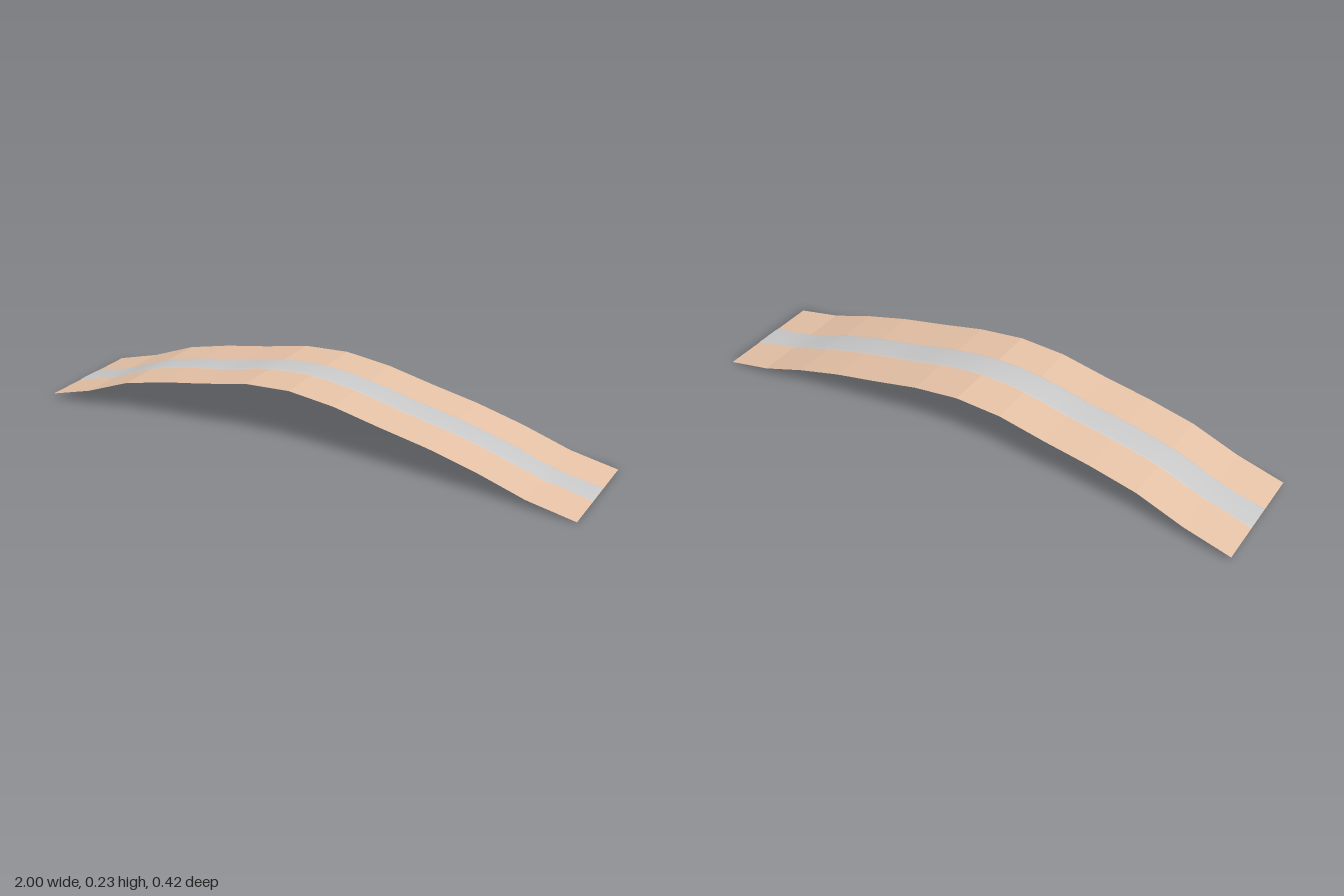
import * as THREE from 'three';

// Height of the hill at 13 evenly spaced stations from x = -1 to x = 1
const heights = [0.024, 0.068, 0.13, 0.166, 0.193, 0.225, 0.232, 0.21, 0.172, 0.137, 0.092, 0.037, 0.003];
const stations = heights.map((y, i) => new THREE.Vector3(-1 + (2 * i) / (heights.length - 1), y, 0));

// Sweeps a cross-section of [z, lift] pairs along a row of points
function ribbon(name, points, section, color, flatShading) {
  const positions = [], indices = [], n = section.length;
  points.forEach((p, i) => {
    section.forEach(([z, lift], j) => {
      positions.push(p.x, p.y + lift, z);
      if (i > 0 && j > 0) {
        const d = i * n + j, c = d - 1, b = d - n, a = b - 1;
        indices.push(a, b, c, b, d, c);
      }
    });
  });
  const geometry = new THREE.BufferGeometry();
  geometry.setAttribute('position', new THREE.Float32BufferAttribute(positions, 3));
  geometry.setIndex(indices);
  geometry.computeVertexNormals();
  const material = new THREE.MeshStandardMaterial({ color, flatShading, side: THREE.DoubleSide });
  const mesh = new THREE.Mesh(geometry, material);
  mesh.name = name;
  return mesh;
}

export function createModel() {
  const group = new THREE.Group();
  group.name = 'hillRoad';

  // Faceted strip of ground
  group.add(ribbon('ground', stations, [[-0.208, 0], [0.208, 0]], 0xe8c4a8, true));

  // Smooth, slightly cambered road laid along the middle
  const curve = new THREE.CatmullRomCurve3(stations);
  const road = [[-0.053, 0], [-0.048, 0.0015], [0, 0.002], [0.048, 0.0015], [0.053, 0]];
  group.add(ribbon('road', curve.getPoints(72), road, 0xcccccc, false));

  return group;
}
